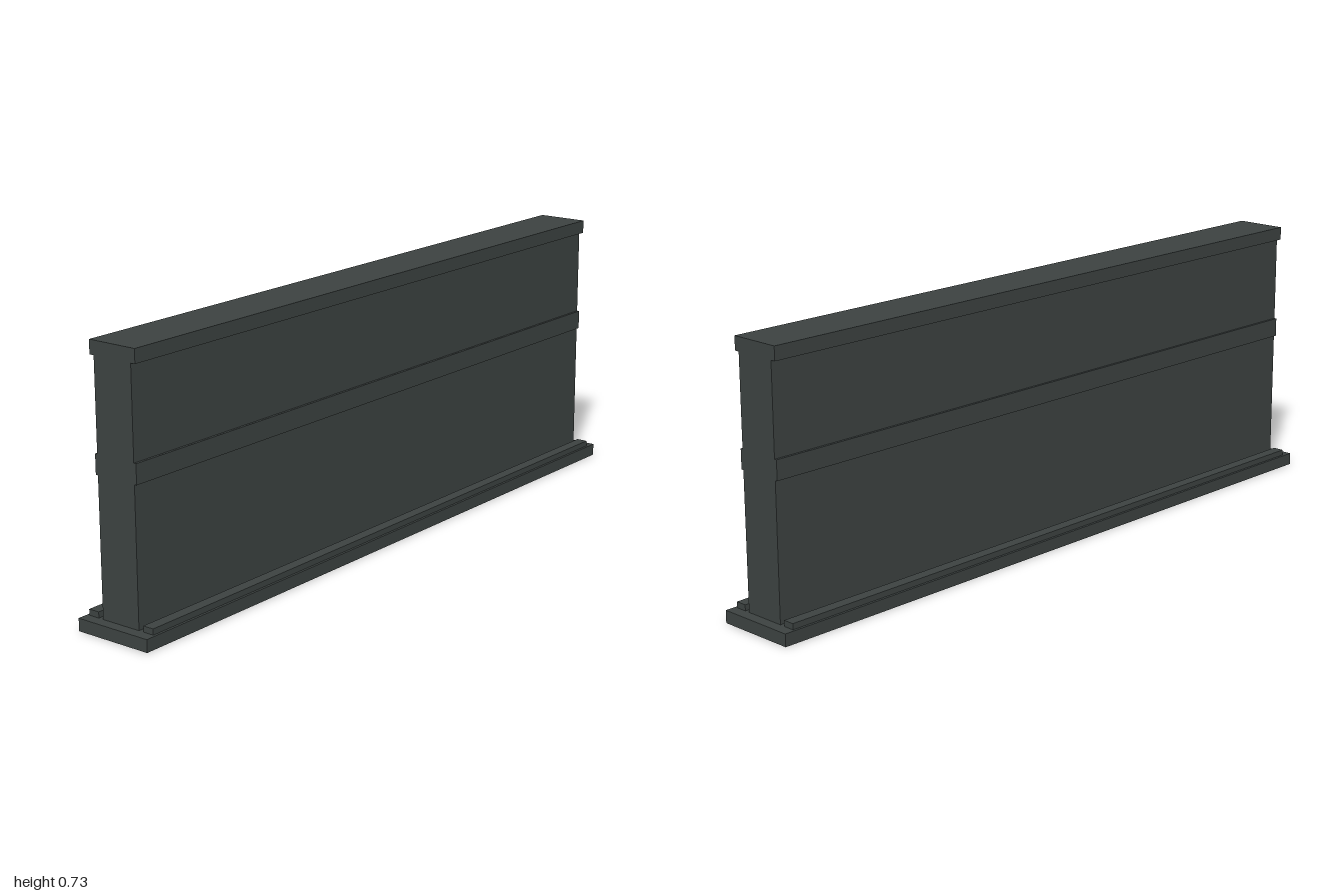
import * as THREE from 'three';

export function createModel() {
  const group = new THREE.Group();
  const darkGrey = new THREE.MeshStandardMaterial({ color: 0x3c4241 });
  darkGrey.name = 'darkGrey';

  // Box spanning y0..y1 and z0..z1, centred on x
  function bar(name, width, y0, y1, z0, z1) {
    const mesh = new THREE.Mesh(new THREE.BoxGeometry(width, y1 - y0, z1 - z0), darkGrey);
    mesh.position.set(0, (y0 + y1) / 2, (z0 + z1) / 2);
    mesh.name = name;
    group.add(mesh);
  }

  const length = 1.94;
  bar('basePlate', 2, 0, 0.034, -0.113, 0.113);
  bar('wallPanel', length, 0.034, 0.696, -0.0595, 0.0595);
  bar('topCap', length, 0.696, 0.733, -0.073, 0.073);

  // Raised band and floor strip on both faces
  for (const [side, s] of [['front', 1], ['back', -1]]) {
    const pair = (a, b) => (s > 0 ? [a, b] : [-b, -a]);
    bar(side + 'Band', length, 0.401, 0.454, ...pair(0.0595, 0.0665));
    bar(side + 'FloorStrip', length, 0.034, 0.05, ...pair(0.074, 0.106));
  }
  return group;
}
